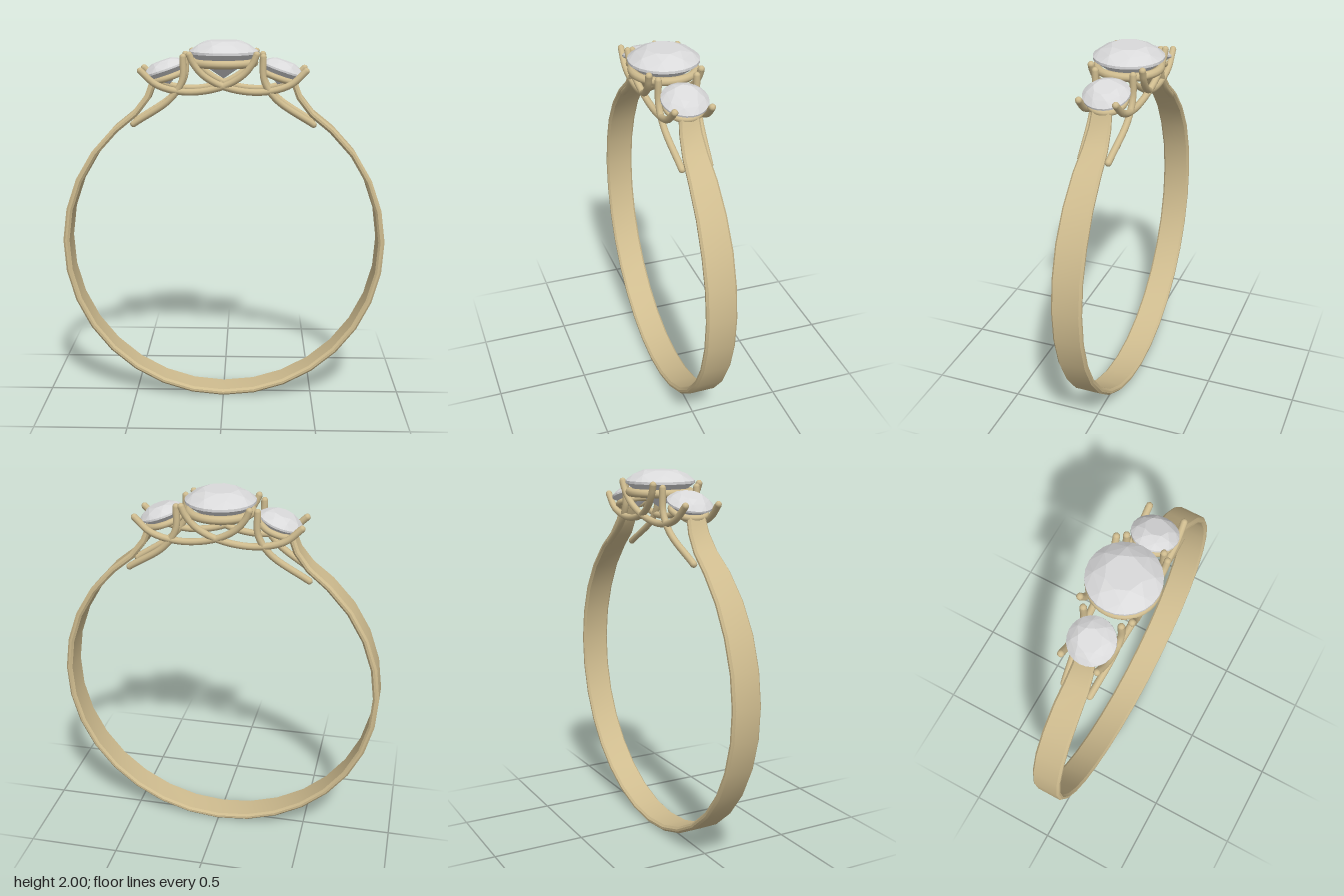
import * as THREE from 'three';
import { toCreasedNormals } from 'three/addons/utils/BufferGeometryUtils.js';
import { ConvexGeometry } from 'three/addons/geometries/ConvexGeometry.js';

const gold = new THREE.MeshStandardMaterial({ color: 0xcfbc8f });
gold.name = 'pale gold';
const crystal = new THREE.MeshStandardMaterial({ color: 0xd9d9da });
crystal.name = 'clear crystal';

function addMesh(parent, name, geometry, material) {
  const mesh = new THREE.Mesh(geometry, material);
  mesh.name = name;
  parent.add(mesh);
  return mesh;
}

// Open band: a chamfered flat section swept around the finger, narrowing at the shoulders
function bandGeometry() {
  const R = 0.868, CY = 0.885, half = [];
  half.push([0.375, 1.785, 0.052], [0.405, 1.705, 0.058], [0.473, 1.617, 0.066]);
  for (let a = 48; a > -90; a -= 11.5) {
    const t = THREE.MathUtils.degToRad(a);
    half.push([R * Math.cos(t), CY + R * Math.sin(t), a > 40 ? 0.073 : a > 30 ? 0.077 : 0.08]);
  }
  const path = [...half, [0, CY - R, 0.08], ...half.map(([x, y, w]) => [-x, y, w]).reverse()];
  const t = 0.017, c = 0.011, n = 8, pos = [], idx = [];
  path.forEach(([x, y, w], i) => {
    const a = path[Math.max(i - 1, 0)], b = path[Math.min(i + 1, path.length - 1)];
    const len = Math.hypot(b[0] - a[0], b[1] - a[1]);
    const nx = -(b[1] - a[1]) / len, ny = (b[0] - a[0]) / len;
    const section = [[t, -w + c], [t, w - c], [t - c, w], [-t + c, w],
      [-t, w - c], [-t, -w + c], [-t + c, -w], [t - c, -w]];
    for (const [d, z] of section) pos.push(x + nx * d, y + ny * d, z);
  });
  const last = (path.length - 1) * n;
  for (let i = 0; i < path.length - 1; i++) {
    for (let j = 0; j < n; j++) {
      const p = i * n + j, q = i * n + (j + 1) % n;
      idx.push(p, q, q + n, p, q + n, p + n);
    }
  }
  for (let j = 1; j < n - 1; j++) {
    idx.push(0, j + 1, j, last, last + j, last + j + 1);
  }
  const g = new THREE.BufferGeometry();
  g.setAttribute('position', new THREE.Float32BufferAttribute(pos, 3));
  g.setIndex(idx);
  g.computeVertexNormals();
  return toCreasedNormals(g, 0.5);
}

// Round brilliant cut with its girdle at y = 0
function stoneGeometry(r, crown, depth) {
  const pts = [new THREE.Vector3(0, -depth, 0)];
  const ring = (radius, y, count, turn) => {
    for (let i = 0; i < count; i++) {
      const a = ((i + turn) / count) * Math.PI * 2;
      pts.push(new THREE.Vector3(radius * Math.cos(a), y, radius * Math.sin(a)));
    }
  };
  ring(r * 0.5, crown, 8, 0);
  ring(r * 0.78, crown * 0.64, 8, 0.5);
  ring(r, crown * 0.1, 24, 0);
  ring(r, -crown * 0.12, 24, 0);
  ring(r * 0.55, -depth * 0.52, 8, 0.5);
  return new ConvexGeometry(pts);
}

// Wire with rounded ends; sx and sz mirror the path
function addWire(parent, name, points, r, sx, sz) {
  const v = points.map(([x, y, z]) => new THREE.Vector3(x * sx, y, z * sz));
  const wire = new THREE.Group();
  wire.name = name;
  parent.add(wire);
  addMesh(wire, name + 'Rod', new THREE.TubeGeometry(new THREE.CatmullRomCurve3(v), 24, r, 10), gold);
  for (const end of [v[0], v[v.length - 1]]) {
    addMesh(wire, name + 'Tip', new THREE.SphereGeometry(r, 10, 6), gold).position.copy(end);
  }
}

// Stone in its round seat
function addSetting(parent, name, r, crown, depth, seatR, seatTube, seatY) {
  const setting = new THREE.Group();
  setting.name = name;
  parent.add(setting);
  addMesh(setting, name + 'Stone', stoneGeometry(r, crown, depth), crystal);
  const seat = addMesh(setting, name + 'Seat', new THREE.TorusGeometry(seatR, seatTube, 10, 36), gold);
  seat.rotation.x = Math.PI / 2;
  seat.position.y = seatY;
  return setting;
}

export function createModel() {
  const model = new THREE.Group();
  model.name = 'ring';
  addMesh(model, 'band', bandGeometry(), gold);

  // Large middle stone and the two tilted side stones
  addSetting(model, 'centre', 0.185, 0.06, 0.14, 0.163, 0.022, -0.055).position.y = 1.94;
  for (const s of [1, -1]) {
    const side = addSetting(model, s > 0 ? 'leftSide' : 'rightSide', 0.12, 0.045, 0.085, 0.09, 0.017, -0.045);
    side.position.set(s * 0.315, 1.85, 0);
    side.rotation.z = -s * 0.33;
  }

  // Crossing cradle wires and inner prongs, front and back
  const cradle = [[-0.435, 1.848, 0.095], [-0.35, 1.775, 0.1], [-0.2, 1.738, 0.1],
    [-0.02, 1.762, 0.11], [0.1, 1.825, 0.125], [0.155, 1.89, 0.133], [0.175, 1.935, 0.136]];
  const prong = [[-0.21, 1.92, 0.1], [-0.215, 1.8, 0.1], [-0.28, 1.7, 0.095], [-0.48, 1.565, 0.072]];
  for (const sx of [1, -1]) {
    for (const sz of [1, -1]) {
      addWire(model, 'cradleWire', cradle, 0.018, sx, sz);
      addWire(model, 'innerProng', prong, 0.018, sx, sz);
    }
  }
  return model;
}
